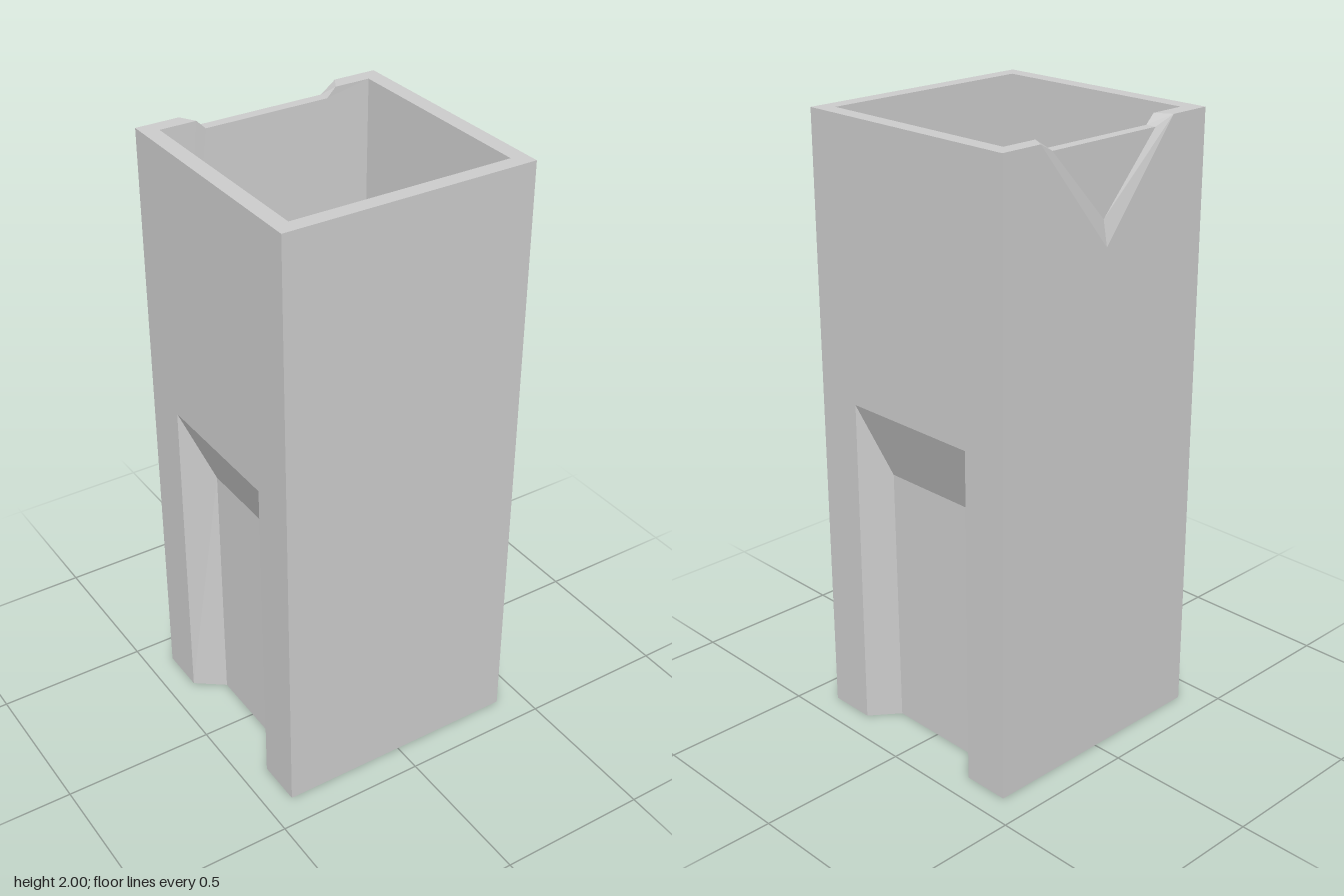
import * as THREE from 'three';
import { RoundedBoxGeometry } from 'three/addons/geometries/RoundedBoxGeometry.js';

const X = 0.412, Z = 0.4, H = 2;       // outer half width, half depth, height
const IX = 0.36, IZ = 0.35;            // opening at the rim
const FX = 0.34, FZ = 0.33, FY = 1.15; // floor of the pit

// Triangulates flat polygons [points, outward direction] into one flat-shaded mesh
function facesMesh(name, faces, material) {
  const pos = [];
  for (const [pts, out] of faces) {
    const v = pts.map((p) => new THREE.Vector3(...p));
    const dir = new THREE.Vector3(...out);
    const a = out.map(Math.abs);
    const drop = a.indexOf(Math.max(...a));
    const flat = pts.map((p) => new THREE.Vector2(...p.filter((_, i) => i !== drop)));
    if (THREE.ShapeUtils.isClockWise(flat)) {
      flat.reverse();
      v.reverse();
    }
    for (const [i, j, k] of THREE.ShapeUtils.triangulateShape(flat, [])) {
      const n = v[j].clone().sub(v[i]).cross(v[k].clone().sub(v[i]));
      const tri = n.dot(dir) >= 0 ? [i, j, k] : [i, k, j];
      for (const t of tri) pos.push(v[t].x, v[t].y, v[t].z);
    }
  }
  const g = new THREE.BufferGeometry();
  g.setAttribute('position', new THREE.Float32BufferAttribute(pos, 3));
  g.computeVertexNormals();
  const mesh = new THREE.Mesh(g, material);
  mesh.name = name;
  return mesh;
}

export function createModel() {
  const group = new THREE.Group();
  const grey = new THREE.MeshStandardMaterial({ color: 0xcccccc });
  const red = new THREE.MeshStandardMaterial({ color: 0xcc2a0a });

  // Outer shell: front, back with a V cut, underside with two side cuts
  const shell = [
    [[[-X, 0, Z], [X, 0, Z], [X, H, Z], [-X, H, Z]], [0, 0, 1]],
    [[[-X, 0, -Z], [X, 0, -Z], [X, H, -Z], [0.27, H, -Z], [0, 1.66, -Z], [-0.27, H, -Z], [-X, H, -Z]], [0, 0, -1]],
    [[[X, 0, Z], [X, 0, 0.245], [0.32, 0, 0.175], [0.32, 0, -0.175], [X, 0, -0.245], [X, 0, -Z],
      [-X, 0, -Z], [-X, 0, -0.245], [-0.32, 0, -0.175], [-0.32, 0, 0.175], [-X, 0, 0.245], [-X, 0, Z]], [0, -1, 0]],
  ];
  const recess = [], rim = [], pit = [], notch = [];

  for (const s of [1, -1]) {
    // Side wall around its recess
    shell.push([[[s * X, 0, Z], [s * X, H, Z], [s * X, H, -Z], [s * X, 0, -Z],
      [s * X, 0, -0.245], [s * X, 1.11, -0.245], [s * X, 1.11, 0.245], [s * X, 0, 0.245]], [s, 0, 0]]);

    // Recess: floor, sloping top, two flared cheeks
    const f = (y, z) => [s * (y ? 0.31 : 0.32), y, z];
    recess.push([[f(0, 0.175), f(0, -0.175), f(0.86, -0.195), f(0.86, 0.195)], [s, 0, 0]]);
    recess.push([[[s * X, 1.11, 0.245], [s * X, 1.11, -0.245], f(0.86, -0.195), f(0.86, 0.195)], [s, -0.5, 0]]);
    for (const t of [1, -1]) {
      recess.push([[[s * X, 0, t * 0.245], [s * X, 1.11, t * 0.245], f(0.86, t * 0.195), f(0, t * 0.175)], [s, 0, -t * 0.8]]);
    }

    // Rim sides, back corner and the flank of the dip
    rim.push([[[s * X, H, Z], [s * X, H, -Z], [s * IX, H, -IZ], [s * IX, H, IZ]], [0, 1, 0]]);
    rim.push([[[s * X, H, -Z], [s * 0.27, H, -Z], [s * 0.24, H, -IZ], [s * IX, H, -IZ]], [0, 1, 0]]);
    rim.push([[[s * 0.27, H, -Z], [s * 0.21, 1.97, -0.385], [s * 0.21, 1.97, -IZ], [s * 0.24, H, -IZ]], [-s * 0.5, 1, 0]]);

    // Flank of the V cut and side wall of the pit
    notch.push([[[s * 0.27, H, -Z], [0, 1.66, -Z], [0, 1.74, -0.385], [s * 0.21, 1.97, -0.385]], [-s * 0.3, 0.3, -1]]);
    pit.push([[[s * IX, H, IZ], [s * IX, H, -IZ], [s * FX, FY, -FZ], [s * FX, FY, FZ]], [-s, 0, 0]]);
  }

  // Front rim and lowered back rim
  rim.push([[[-X, H, Z], [X, H, Z], [IX, H, IZ], [-IX, H, IZ]], [0, 1, 0]]);
  rim.push([[[-0.21, 1.97, -0.385], [0.21, 1.97, -0.385], [0.21, 1.97, -IZ], [-0.21, 1.97, -IZ]], [0, 1, 0]]);
  notch.push([[[-0.21, 1.97, -0.385], [0.21, 1.97, -0.385], [0, 1.74, -0.385]], [0, 0, -1]]);

  // Pit front wall, back wall and floor
  pit.push([[[-IX, H, IZ], [IX, H, IZ], [FX, FY, FZ], [-FX, FY, FZ]], [0, 0, -1]]);
  pit.push([[[-IX, H, -IZ], [-0.24, H, -IZ], [-0.21, 1.97, -IZ], [0.21, 1.97, -IZ], [0.24, H, -IZ], [IX, H, -IZ],
    [FX, FY, -FZ], [-FX, FY, -FZ]], [0, 0, 1]]);
  pit.push([[[-FX, FY, -FZ], [FX, FY, -FZ], [FX, FY, FZ], [-FX, FY, FZ]], [0, 1, 0]]);

  group.add(
    facesMesh('shell', shell, grey),
    facesMesh('sideRecesses', recess, grey),
    facesMesh('rim', rim, grey),
    facesMesh('backNotch', notch, grey),
    facesMesh('pit', pit, grey),
  );

  // Red block with rounded edges lying in the pit
  const block = new THREE.Mesh(new RoundedBoxGeometry(0.676, 0.1, 0.652, 4, 0.025), red);
  block.name = 'redBlock';
  block.position.y = FY + 0.05;
  group.add(block);
  return group;
}
